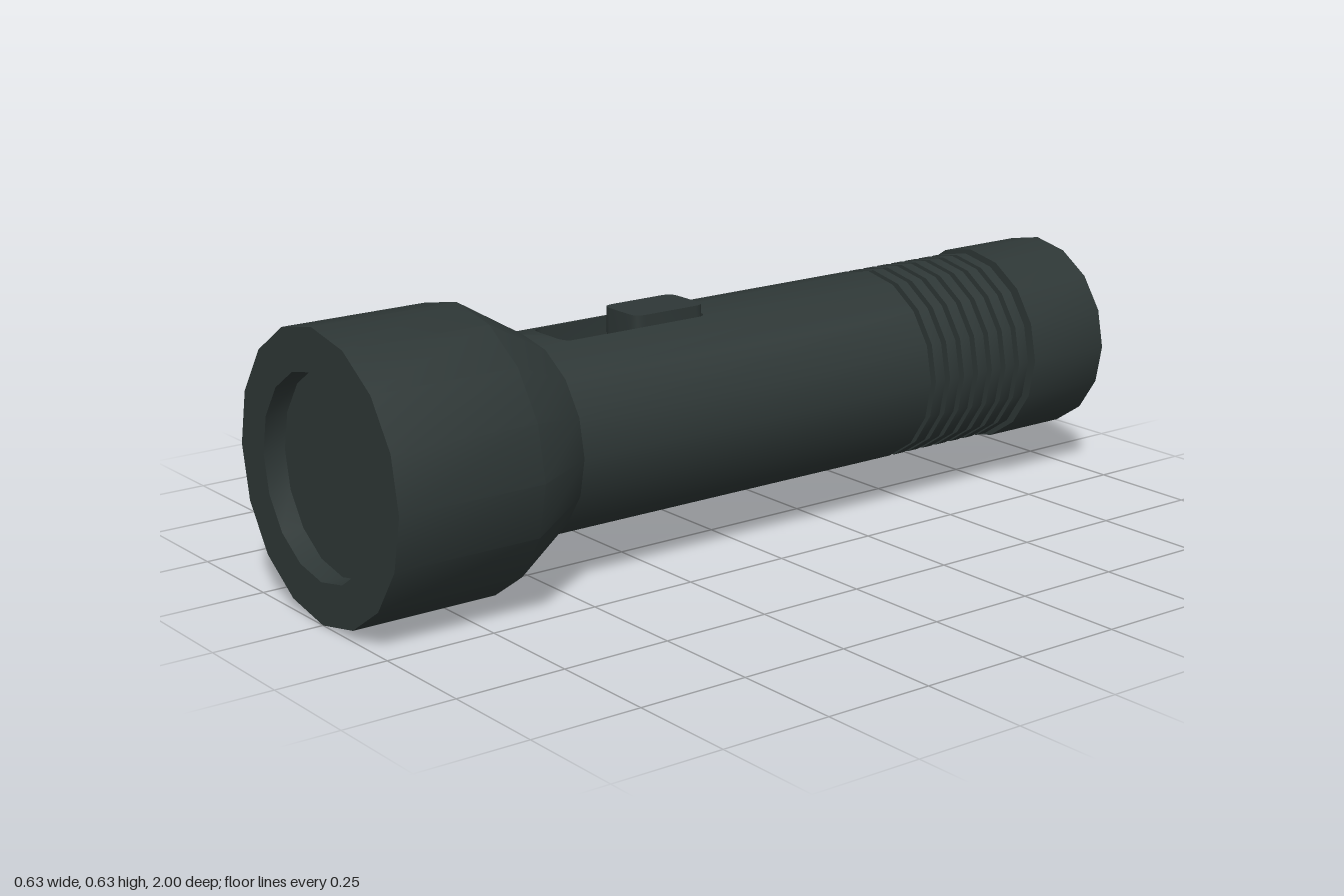
import * as THREE from 'three';
import { toCreasedNormals } from 'three/addons/utils/BufferGeometryUtils.js';

const SIDES = 16, AXIS_Y = 0.313;
const R = 0.22, GRIP_R = 0.175, TAIL_R = 0.228, HEAD_R = 0.313;
const BODY_BACK = -0.4585, BODY_FRONT = 0.5;
const SLOT = { w: 0.065, back: 0.06, front: 0.435, r: 0.028, rim: 0.207, floor: 0.167 };

// Profile points are [radius, z], turned around the z axis
function turned(points, phiStart = 0, phiLength = Math.PI * 2, sides = SIDES) {
  const profile = points.map(([r, z]) => new THREE.Vector2(r, z));
  return new THREE.LatheGeometry(profile, sides, phiStart, phiLength).rotateX(Math.PI / 2);
}

// Rounded rectangle seen from above, counter-clockwise, with shape y = -z
function roundedRect(w, back, front, r) {
  const s = new THREE.Shape();
  s.moveTo(-w + r, -front);
  s.lineTo(w - r, -front);
  s.quadraticCurveTo(w, -front, w, -front + r);
  s.lineTo(w, -back - r);
  s.quadraticCurveTo(w, -back, w - r, -back);
  s.lineTo(-w + r, -back);
  s.quadraticCurveTo(-w, -back, -w, -back - r);
  s.lineTo(-w, -front + r);
  s.quadraticCurveTo(-w, -front, -w + r, -front);
  return s;
}

// One of the two top facets of the barrel, notched for the switch slot
function topFacet(side) {
  const { w, back, front, r, rim } = SLOT;
  const edge = R * Math.sin(Math.PI / 8);
  const slope = (R - R * Math.cos(Math.PI / 8)) / edge;
  const s = new THREE.Shape();
  s.moveTo(0, -BODY_BACK);
  s.lineTo(side * edge, -BODY_BACK);
  s.lineTo(side * edge, -BODY_FRONT);
  s.lineTo(0, -BODY_FRONT);
  s.lineTo(0, -front);
  s.lineTo(side * (w - r), -front);
  s.quadraticCurveTo(side * w, -front, side * w, -front + r);
  s.lineTo(side * w, -back - r);
  s.quadraticCurveTo(side * w, -back, side * (w - r), -back);
  s.lineTo(0, -back);
  s.lineTo(0, -0.02);
  const g = new THREE.ShapeGeometry(s, 4).rotateX(-Math.PI / 2);
  const p = g.attributes.position, n = g.attributes.normal;
  for (let i = 0; i < p.count; i++) {
    const x = p.getX(i), z = p.getZ(i);
    const onRim = Math.abs(x) < w + 0.001 && z > back - 0.001 && z < front + 0.001;
    const y = onRim ? rim : R - Math.abs(x) * slope;
    p.setY(i, y);
    const len = Math.hypot(x, y);
    n.setXYZ(i, x / len, y / len, 0);
  }
  return g;
}

// Inward-facing wall of the switch slot
function slotWall(outline) {
  const pos = [];
  const { rim, floor } = SLOT;
  for (let i = 0; i < outline.length - 1; i++) {
    const a = outline[i], b = outline[i + 1];
    pos.push(a.x, floor, -a.y, a.x, rim, -a.y, b.x, floor, -b.y);
    pos.push(b.x, floor, -b.y, a.x, rim, -a.y, b.x, rim, -b.y);
  }
  const g = new THREE.BufferGeometry();
  g.setAttribute('position', new THREE.Float32BufferAttribute(pos, 3));
  g.computeVertexNormals();
  return toCreasedNormals(g, 0.6);
}

export function createModel() {
  const model = new THREE.Group();
  model.name = 'flashlight';
  const casing = new THREE.MeshStandardMaterial({ color: 0x2e3736 });
  casing.name = 'dark casing';
  const add = (name, geometry) => {
    const mesh = new THREE.Mesh(geometry, casing);
    mesh.name = name;
    mesh.position.y = AXIS_Y;
    model.add(mesh);
  };

  // Tail cap and ribbed grip
  add('tailCap', toCreasedNormals(turned([
    [0, -1], [TAIL_R, -1], [TAIL_R, -0.778], [GRIP_R, -0.778],
  ]), 0.6));
  const ribs = [];
  for (let i = 0; i < 8; i++) {
    const z = -0.778 + i * 0.0435;
    ribs.push([GRIP_R, z], [GRIP_R, z + 0.015], [R, z + 0.015]);
    if (i < 7) ribs.push([R, z + 0.0435]);
  }
  add('ribbedGrip', toCreasedNormals(turned(ribs), 0.6));

  // Barrel: fourteen plain sides plus two facets around the slot
  add('barrel', turned([[R, BODY_BACK], [R, BODY_FRONT]],
    Math.PI * 9 / 8, Math.PI * 7 / 4, SIDES - 2));
  add('barrelTopLeft', topFacet(1));
  add('barrelTopRight', topFacet(-1));

  // Flared head with a recessed lens
  add('head', toCreasedNormals(turned([
    [R, BODY_FRONT], [HEAD_R, 0.66], [HEAD_R, 1], [R, 1], [R, 0.95], [0, 0.95],
  ]), 0.6));

  // Switch slot and sliding button
  const slot = roundedRect(SLOT.w, SLOT.back, SLOT.front, SLOT.r);
  add('slotWall', slotWall(slot.getPoints(4)));
  add('slotFloor', new THREE.ShapeGeometry(slot, 4).rotateX(-Math.PI / 2)
    .translate(0, SLOT.floor, 0));
  const button = new THREE.ExtrudeGeometry(roundedRect(0.062, 0.065, 0.25, 0.025), {
    depth: 0.232 - SLOT.floor, bevelEnabled: false, curveSegments: 4,
  }).rotateX(-Math.PI / 2).translate(0, SLOT.floor, 0);
  add('switchButton', toCreasedNormals(button, 0.6));

  return model;
}
